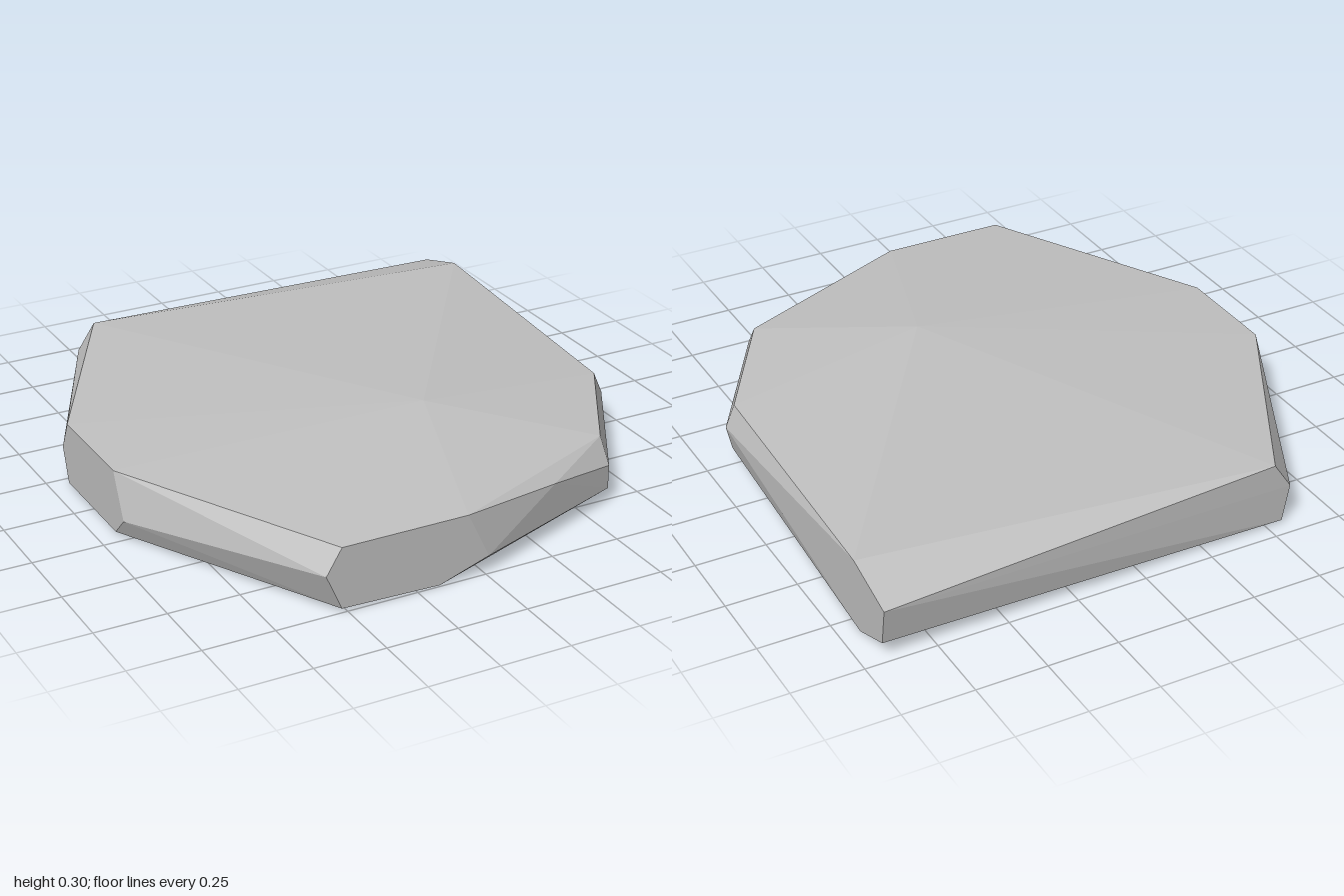
import * as THREE from 'three';
import { ConvexGeometry } from 'three/addons/geometries/ConvexGeometry.js';

// Corners of the slab as [x, y, z], ring by ring
const crown = [[0.15, 0.3, 0.33]];

const topRim = [
  [-0.935, 0.235, 0.2], [-0.52, 0.23, 1], [-0.07, 0.23, 1],
  [0.615, 0.225, 0.71], [0.88, 0.22, 0.27], [0.93, 0.25, -0.79],
  [0.93, 0.19, -1], [-0.52, 0.235, -0.94], [-0.935, 0.235, -0.19],
];

const girdle = [
  [-0.935, 0.08, 0.27], [-0.575, 0.14, 1], [0.01, 0.065, 1],
  [0.33, 0.19, 0.88], [0.615, 0.14, 0.77], [0.615, 0.055, 0.77],
  [0.915, 0.14, 0.27], [0.895, 0.05, 0.27], [0.93, 0.06, -0.98],
  [-0.585, 0.14, -0.94], [-0.935, 0.13, -0.24],
];

const base = [
  [-0.935, 0.01, 0.2], [-0.52, 0.015, 1], [-0.17, 0.005, 1],
  [0.62, 0.003, 0.64], [0.81, 0.003, 0.32], [0.93, 0, -0.82],
  [-0.56, 0.01, -0.94], [-0.935, 0.01, -0.2],
];

export function createModel() {
  const group = new THREE.Group();
  group.name = 'flatRock';

  const stone = new THREE.MeshStandardMaterial({ color: 0xc1c1c1 });
  stone.name = 'grey stone';
  stone.flatShading = true;

  // One faceted convex slab
  const corners = [...crown, ...topRim, ...girdle, ...base]
    .map((p) => new THREE.Vector3(...p));
  const slab = new THREE.Mesh(new ConvexGeometry(corners), stone);
  slab.name = 'rockSlab';
  group.add(slab);
  return group;
}
